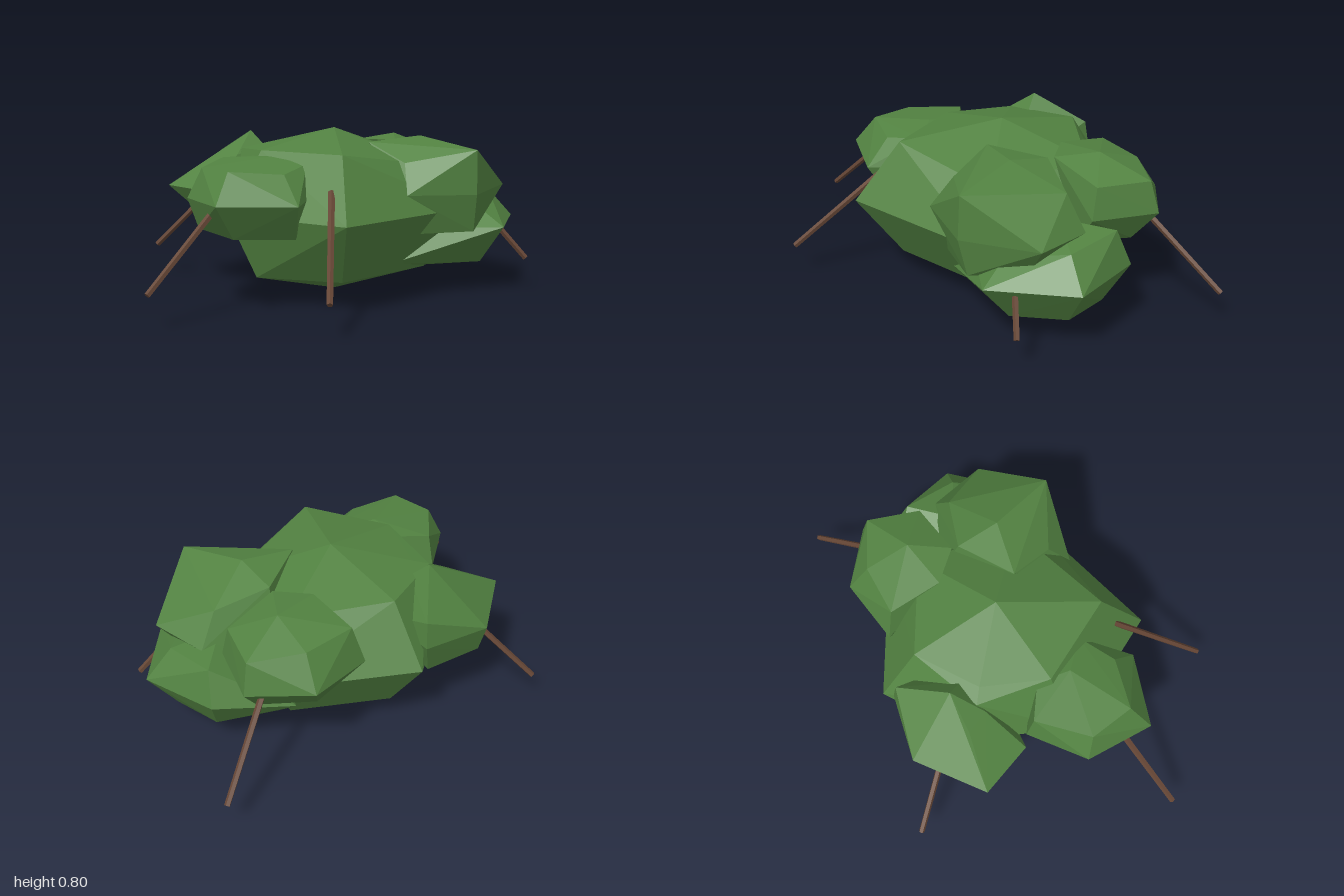
import * as THREE from 'three';
import { ConvexGeometry } from 'three/addons/geometries/ConvexGeometry.js';

const leafGreen = new THREE.MeshStandardMaterial({ color: 0x528241, flatShading: true });
leafGreen.name = 'leafGreen';
const twigBrown = new THREE.MeshStandardMaterial({ color: 0x674736, flatShading: true });
twigBrown.name = 'twigBrown';

// A faceted leaf clump wrapped around a few corner points
function clump(name, points) {
  const geometry = new ConvexGeometry(points.map((p) => new THREE.Vector3(...p)));
  const mesh = new THREE.Mesh(geometry, leafGreen);
  mesh.name = name;
  return mesh;
}

// A thin twig running from its outer tip towards and into the leaves
function twig(name, tip, toward) {
  const length = 0.61;
  const a = new THREE.Vector3(...tip);
  const dir = new THREE.Vector3(...toward).sub(a).normalize();
  const mesh = new THREE.Mesh(new THREE.CylinderGeometry(0.016, 0.014, length, 5), twigBrown);
  mesh.position.copy(a).addScaledVector(dir, length / 2);
  mesh.quaternion.setFromUnitVectors(new THREE.Vector3(0, 1, 0), dir);
  mesh.name = name;
  return mesh;
}

// Main clump: a squashed sphere with an uneven outline (x, z from its axis, upper ring height)
function mainClump() {
  const outline = [[0.08, 0.71, 0.71], [-0.48, 0.38, 0.71], [-0.55, -0.09, 0.71],
    [-0.34, -0.53, 0.71], [0.36, -0.55, 0.68], [0.64, 0.12, 0.63]];
  // Poles and two bulges: upper right and lower front
  const points = [[0, 0.8, -0.03], [0, 0, -0.03], [-0.46, 0.69, -0.1], [-0.35, 0.12, 0.31]];
  for (const [x, z, top] of outline) {
    for (const [y, k] of [[top, 0.69], [0.42, 1], [0.13, 0.69]]) {
      points.push([x * k, y, z * k - 0.03]);
    }
  }
  return clump('mainClump', points);
}

export function createModel() {
  const group = new THREE.Group();
  group.name = 'bush';

  group.add(mainClump());

  // Side clumps
  group.add(clump('frontRightClump', [
    [-0.65, 0.51, 0.42], [-0.48, 0.51, 0.71], [-0.13, 0.5, 0.63], [-0.08, 0.52, 0.4],
    [-0.2, 0.5, 0.15], [-0.54, 0.51, 0.13], [-0.58, 0.65, 0.43], [-0.44, 0.65, 0.6],
    [-0.2, 0.63, 0.53], [-0.11, 0.66, 0.36], [-0.52, 0.67, 0.16], [-0.28, 0.69, 0.32],
    [-0.34, 0.68, 0.17], [-0.6, 0.37, 0.42], [-0.42, 0.35, 0.6], [-0.15, 0.34, 0.53],
    [-0.2, 0.34, 0.25], [-0.5, 0.35, 0.2],
  ]));
  group.add(clump('backRightClump', [
    [-0.82, 0.51, -0.04], [-0.68, 0.5, -0.39], [-0.37, 0.5, -0.5], [-0.37, 0.63, -0.48],
    [-0.43, 0.77, -0.22], [-0.35, 0.69, -0.18], [-0.58, 0.66, -0.13], [-0.48, 0.66, -0.06],
    [-0.6, 0.5, 0.13], [-0.64, 0.36, -0.02], [-0.66, 0.35, -0.35], [-0.56, 0.31, -0.06],
    [-0.4, 0.32, -0.43], [-0.45, 0.32, 0.08], [-0.2, 0.5, -0.2],
  ]));
  group.add(clump('backClump', [
    [0.17, 0.51, -0.75], [0.48, 0.51, -0.71], [0.46, 0.66, -0.67], [0.52, 0.66, -0.42],
    [0.55, 0.51, -0.4], [0.3, 0.74, -0.46], [0.2, 0.67, -0.65], [-0.02, 0.68, -0.52],
    [-0.08, 0.5, -0.54], [0.3, 0.72, -0.25], [0.12, 0.72, -0.3], [0.15, 0.36, -0.62],
    [0.42, 0.36, -0.6], [0.45, 0.36, -0.35], [0.05, 0.38, -0.45],
  ]));
  group.add(clump('leftClump', [
    [0.35, 0.51, 0.32], [0.68, 0.5, 0.2], [0.84, 0.51, -0.15], [0.64, 0.5, -0.36],
    [0.3, 0.5, -0.3], [0.17, 0.735, 0.05], [0.34, 0.65, 0.21], [0.68, 0.71, 0.19],
    [0.57, 0.66, -0.28], [0.42, 0.76, -0.04], [0.31, 0.72, -0.22], [0.36, 0.32, 0.26],
    [0.67, 0.32, 0.16], [0.72, 0.34, -0.1], [0.45, 0.33, -0.25],
  ]));
  group.add(clump('lowerLeftClump', [
    [0.905, 0.33, -0.32], [0.82, 0.33, 0.1], [0.62, 0.33, -0.57], [0.4, 0.33, 0.13],
    [0.77, 0.14, -0.28], [0.72, 0.14, -0.02], [0.6, 0.14, -0.45], [0.35, 0.14, 0.1],
    [0.27, 0.17, 0.23], [0.3, 0.14, -0.41], [0.24, 0.3, -0.57], [0.78, 0.47, -0.28],
    [0.62, 0.5, -0.5], [0.7, 0.42, 0], [0.55, 0.53, -0.25],
  ]));

  // Twigs poking out around the sides
  group.add(twig('rightTwig', [-0.947, 0.155, -0.358], [-0.71, 0.39, -0.28]));
  group.add(twig('frontRightTwig', [-0.753, 0.155, 0.855], [-0.51, 0.47, 0.58]));
  group.add(twig('frontTwig', [0.02, 0.155, 0.995], [0.01, 0.55, 0.54]));
  group.add(twig('backTwig', [0.593, 0.155, -0.995], [0.42, 0.44, -0.71]));
  group.add(twig('leftTwig', [0.947, 0.155, -0.04], [0.82, 0.3, -0.04]));

  return group;
}
